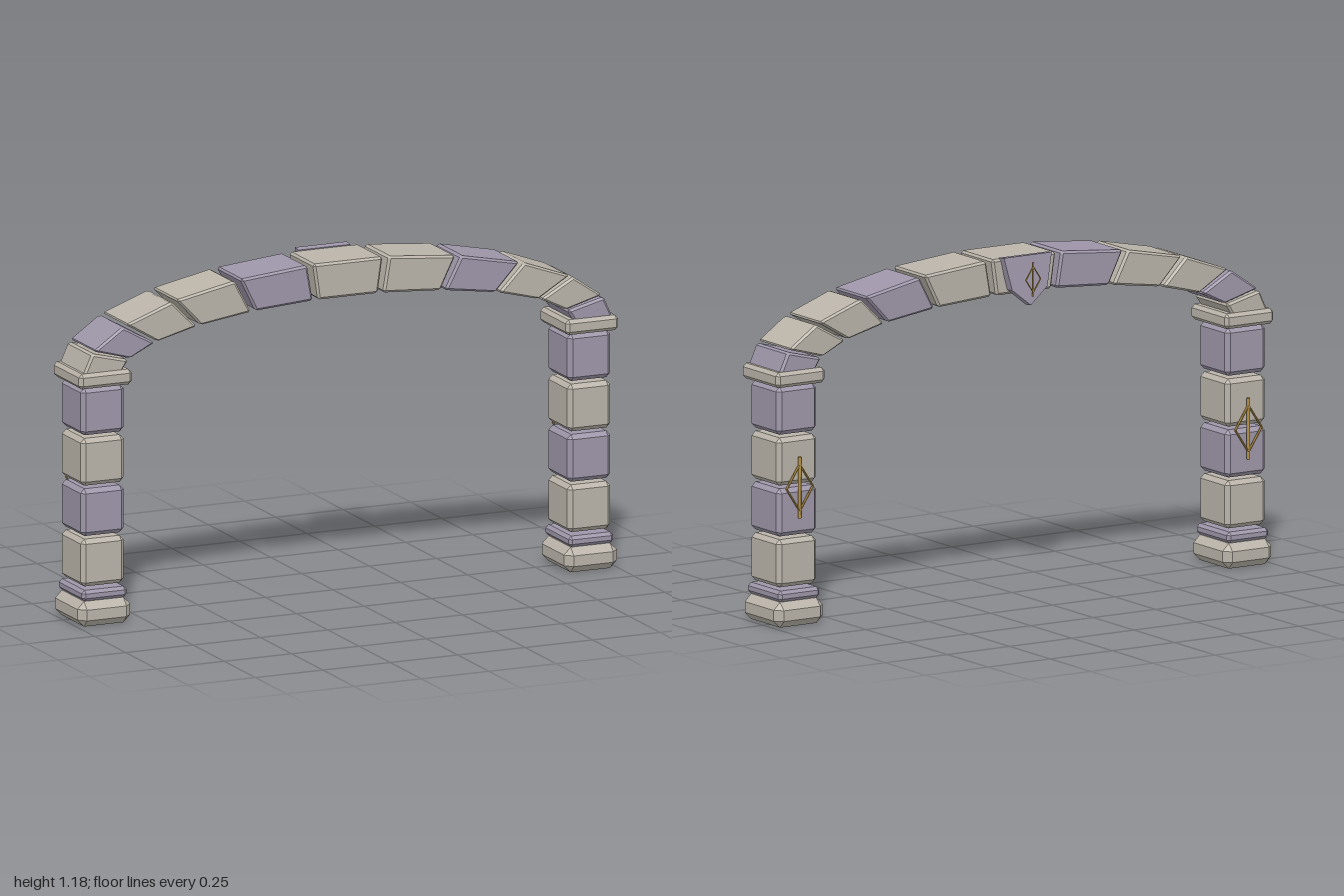
import * as THREE from 'three';
import { ConvexGeometry } from 'three/addons/geometries/ConvexGeometry.js';

const paleStone = new THREE.MeshStandardMaterial({ name: 'paleStone', color: 0xbab4a9 });
const violetStone = new THREE.MeshStandardMaterial({ name: 'violetStone', color: 0x9e96a9 });
const gold = new THREE.MeshStandardMaterial({ name: 'gold', color: 0xb8954a });

const CENTRE_Z = 0.024;
const PILLAR_X = 0.902;

function addMesh(parent, name, geometry, material) {
  const mesh = new THREE.Mesh(geometry, material);
  mesh.name = name;
  parent.add(mesh);
  return mesh;
}

// Chamfered six-sided stone: a quad in xy, extended in z.
// Each corner becomes three points, each pulled back along two of its edges.
function chamferedStone(quad, depth, c) {
  const points = [];
  const toward = (a, b) => b.clone().sub(a).normalize().multiplyScalar(c);
  for (const side of [-1, 1]) {
    const ring = quad.map(([x, y]) => new THREE.Vector3(x, y, side * depth / 2));
    ring.forEach((p, i) => {
      const next = toward(p, ring[(i + 1) % 4]);
      const prev = toward(p, ring[(i + 3) % 4]);
      const inward = new THREE.Vector3(0, 0, -side * c);
      points.push(p.clone().add(next).add(prev), p.clone().add(next).add(inward), p.clone().add(prev).add(inward));
    });
  }
  return new ConvexGeometry(points);
}

function block(width, bottom, top, depth, c) {
  const w = width / 2;
  return chamferedStone([[-w, bottom], [w, bottom], [w, top], [-w, top]], depth, c);
}

// Diamond frame with an upright rod
function makeEmblem(name) {
  const emblem = new THREE.Group();
  emblem.name = name;
  const frame = addMesh(emblem, 'diamondFrame', new THREE.TorusGeometry(0.08, 0.006, 6, 4).toNonIndexed(), gold);
  frame.geometry.computeVertexNormals();
  frame.scale.x = 0.66;
  addMesh(emblem, 'uprightRod', new THREE.CylinderGeometry(0.006, 0.006, 0.21, 6), gold);
  return emblem;
}

function makePillar(name, x) {
  const pillar = new THREE.Group();
  pillar.name = name;
  pillar.position.set(x, 0, CENTRE_Z);
  addMesh(pillar, 'base', block(0.196, 0, 0.087, 0.228, 0.025), paleStone);
  addMesh(pillar, 'baseRing', block(0.166, 0.088, 0.126, 0.204, 0.011), violetStone);
  for (let i = 0; i < 4; i++) {
    const y = 0.135 + i * 0.1747;
    addMesh(pillar, 'shaftBlock', block(0.16, y, y + 0.164, 0.178, 0.015), i % 2 ? violetStone : paleStone);
  }
  addMesh(pillar, 'capital', block(0.196, 0.826, 0.879, 0.224, 0.012), paleStone);
  const emblem = makeEmblem('pillarEmblem');
  emblem.position.set(0, 0.475, -0.075 - CENTRE_Z);
  pillar.add(emblem);
  return pillar;
}

// Eleven wedge stones between two half ellipses
function makeArch() {
  const arch = new THREE.Group();
  arch.name = 'arch';
  arch.position.z = CENTRE_Z;
  const count = 11, gap = 0.011;
  const inner = a => [-0.845 * Math.cos(a), 0.86 + 0.186 * Math.sin(a)];
  const outer = a => [-0.985 * Math.cos(a), 0.86 + 0.312 * Math.sin(a)];
  for (let i = 0; i < count; i++) {
    const a = Math.PI * i / count + gap, b = Math.PI * (i + 1) / count - gap;
    addMesh(arch, 'archStone', chamferedStone([inner(a), inner(b), outer(b), outer(a)], 0.2, 0.008),
      i % 3 === 1 ? violetStone : paleStone);
  }
  return arch;
}

// Tilted five-sided plate behind the middle stone
function makeShield() {
  const shape = new THREE.Shape([[-0.096, 0.17], [-0.071, 0.058], [0, 0], [0.071, 0.058], [0.096, 0.17]]
    .map(([x, y]) => new THREE.Vector2(x, y)));
  const geometry = new THREE.ExtrudeGeometry(shape, { depth: 0.03, bevelEnabled: false });
  const group = new THREE.Group();
  group.name = 'shield';
  const plate = addMesh(group, 'shieldPlate', geometry, violetStone);
  plate.position.set(0, 1.007, -0.117);
  plate.rotation.x = 0.11;
  const emblem = makeEmblem('shieldEmblem');
  emblem.scale.setScalar(0.56);
  emblem.position.set(0, 1.098, -0.131);
  group.add(emblem);
  return group;
}

export function createModel() {
  const model = new THREE.Group();
  model.name = 'stoneArchway';
  model.add(makePillar('leftPillar', PILLAR_X), makePillar('rightPillar', -PILLAR_X), makeArch(), makeShield());
  return model;
}
